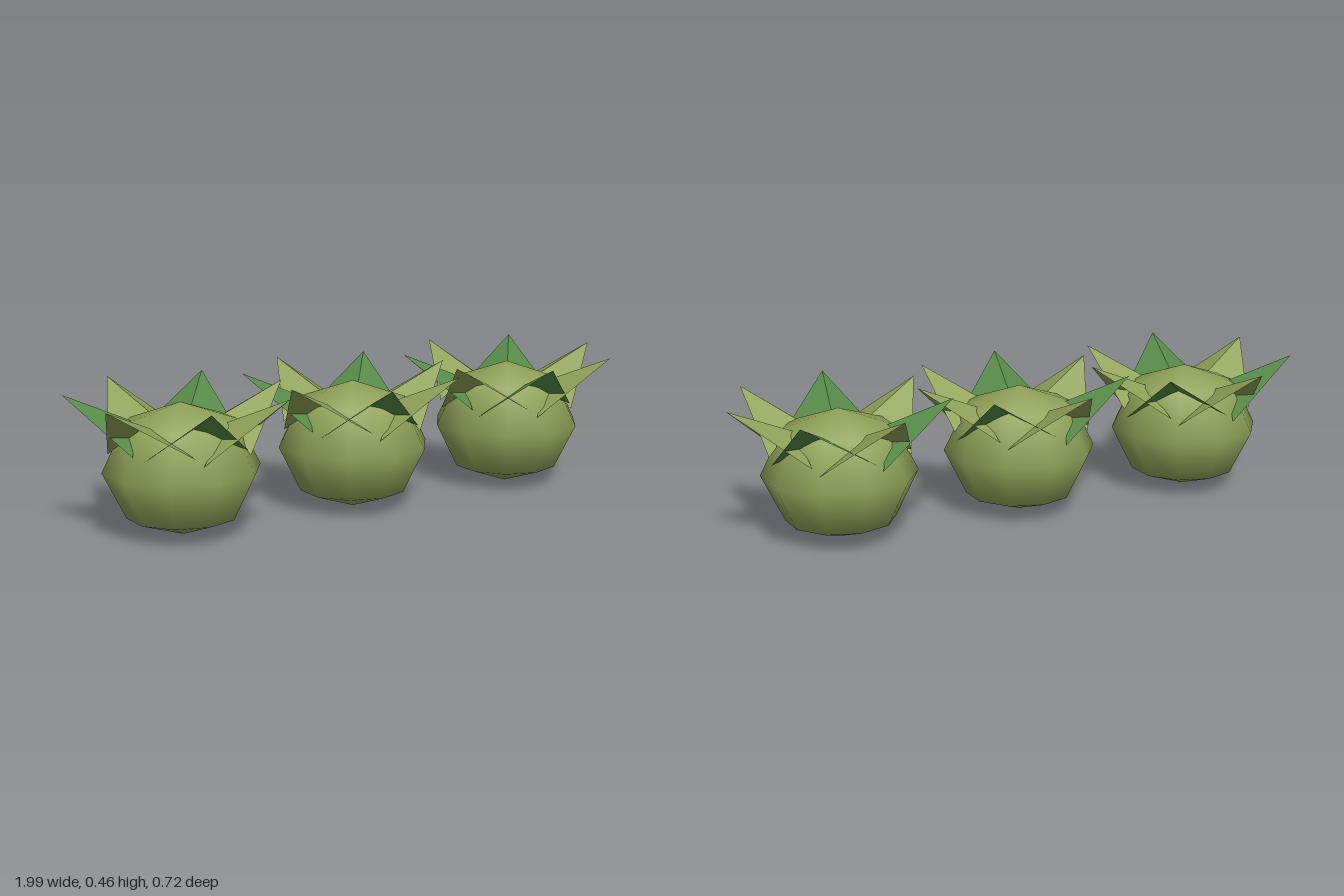
import * as THREE from 'three';

const LEAVES = 7;

// Folded leaf pointing along +x: a raised ridge with two drooping halves
function leafGeometry() {
  const tip = [0.369, 0.463, 0];
  const root = [0.15, 0.373, 0];
  const low = [0.153, 0.272, 0.175];
  const high = [0.153, 0.295, -0.175];
  const geometry = new THREE.BufferGeometry();
  geometry.setAttribute('position', new THREE.Float32BufferAttribute(
    [root, low, tip, root, tip, high].flat(), 3));
  geometry.computeVertexNormals();
  return geometry;
}

// Squat round body, ten sides and four bands
function bodyGeometry() {
  return new THREE.SphereGeometry(0.255, 10, 4)
    .rotateY(Math.PI / 2)
    .scale(1, 0.216 / 0.255, 1)
    .translate(0, 0.216, 0);
}

export function createModel() {
  const olive = new THREE.MeshStandardMaterial({ color: 0x8fa258, side: THREE.DoubleSide });
  olive.name = 'olive green';
  const green = new THREE.MeshStandardMaterial({ color: 0x568a48, side: THREE.DoubleSide });
  green.name = 'leaf green';

  const body = bodyGeometry();
  const leaf = leafGeometry();
  const model = new THREE.Group();
  model.name = 'plantRow';

  // Three identical plants in a row
  for (const x of [-0.667, -0.022, 0.623]) {
    const plant = new THREE.Group();
    plant.name = 'plant';
    plant.position.x = x;

    const bulb = new THREE.Mesh(body, olive);
    bulb.name = 'bulb';
    plant.add(bulb);

    // Ring of leaves in alternating colours
    for (let i = 0; i < LEAVES; i++) {
      const blade = new THREE.Mesh(leaf, i % 2 ? green : olive);
      blade.name = 'leaf';
      blade.rotation.y = (i * 2 * Math.PI) / LEAVES;
      plant.add(blade);
    }
    model.add(plant);
  }
  return model;
}
